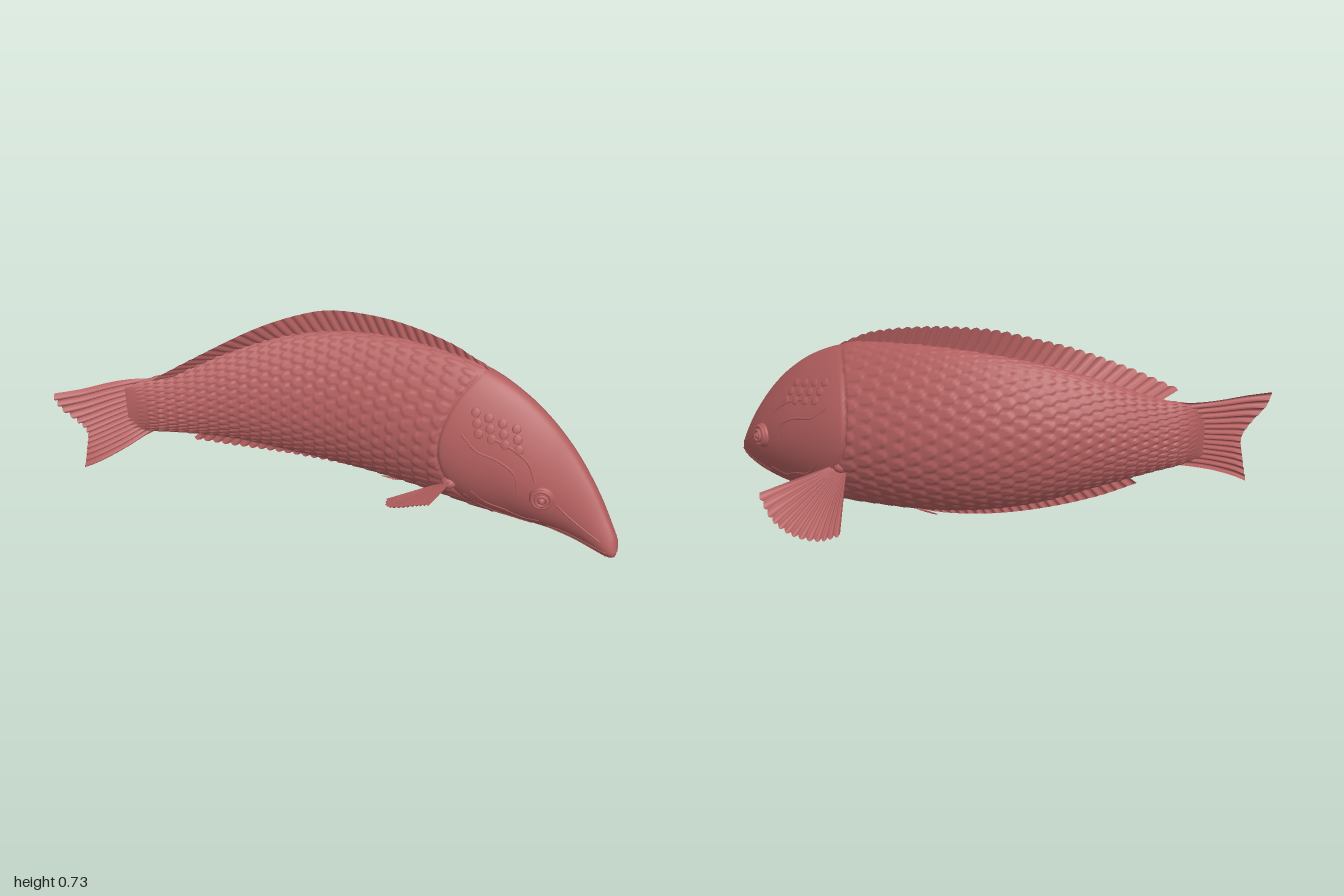
import * as THREE from 'three';
import { ParametricGeometry } from 'three/addons/geometries/ParametricGeometry.js';

const { lerp, smoothstep } = THREE.MathUtils;
const V = (x, y, z) => new THREE.Vector3(x, y, z);
const skinMat = new THREE.MeshStandardMaterial({ color: 0xb25e5e });
const finMat = new THREE.MeshStandardMaterial({ color: 0xb25e5e, side: THREE.DoubleSide });

// Smooth lookup in rows [key, value, value...] with ascending keys
function lookup(rows, k, col = 1) {
  const n = rows.length;
  let i = 0;
  while (i < n - 2 && k > rows[i + 1][0]) i++;
  const slope = (j) => {
    const a = rows[Math.max(j - 1, 0)], b = rows[Math.min(j + 1, n - 1)];
    return (b[col] - a[col]) / (b[0] - a[0]);
  };
  const p = rows[i], q = rows[i + 1], h = q[0] - p[0];
  const t = THREE.MathUtils.clamp((k - p[0]) / h, 0, 1), t2 = t * t, t3 = t2 * t;
  return (2 * t3 - 3 * t2 + 1) * p[col] + (t3 - 2 * t2 + t) * h * slope(i)
    + (3 * t2 - 2 * t3) * q[col] + (t3 - t2) * h * slope(i + 1);
}

// Body stations: x, back height, belly height, half width
const BODY = [
  [-0.76, 0.445, 0.25, 0.006], [-0.7, 0.455, 0.235, 0.03], [-0.6, 0.475, 0.215, 0.05],
  [-0.4, 0.55, 0.165, 0.084], [-0.2, 0.605, 0.105, 0.115], [0, 0.635, 0.062, 0.137],
  [0.2, 0.642, 0.035, 0.154], [0.4, 0.627, 0.018, 0.165], [0.5, 0.608, 0.01, 0.168],
  [0.6, 0.57, 0.006, 0.161], [0.7, 0.507, 0.008, 0.143], [0.8, 0.412, 0.012, 0.113],
  [0.9, 0.275, 0.018, 0.072], [0.96, 0.165, 0.022, 0.045], [0.985, 0.115, 0.027, 0.031],
  [0.995, 0.08, 0.04, 0.016], [0.998, 0.065, 0.055, 0.003],
];
// Sideways bend of the spine: x, z
const SPINE = [
  [-1, 0.065], [-0.9, 0.045], [-0.8, -0.005], [-0.7, -0.055], [-0.6, -0.085], [-0.4, -0.13],
  [-0.2, -0.153], [0, -0.147], [0.2, -0.11], [0.4, -0.045], [0.6, 0.038], [0.8, 0.142],
  [0.9, 0.222], [1, 0.33],
];
// Rear edge of the gill cover: y, x
const GILL = [[0, 0.63], [0.1, 0.52], [0.3, 0.42], [0.5, 0.45], [0.65, 0.55]];

const spineZ = (x) => lookup(SPINE, x);

// Height of overlapping round scales, thickest at their tailward edge
function scaleHeight(x, theta) {
  const p = (x + 0.8) * (26 - 6 * x), q = theta / (2 * Math.PI) * 34;
  let h = 0;
  for (let k = Math.floor(p); k > p - 2; k--) {
    const dx = p - k, row = q + (Math.abs(k) % 2) / 2;
    const dy = row - Math.floor(row) - 0.5;
    const r2 = (dx - 1) ** 2 + (1.9 * dy) ** 2;
    if (r2 < 1) h = Math.max(h, (1 - 0.4 * dx) * Math.min(1, 3 * (1 - r2)));
  }
  return h;
}

// Point on the skin; theta runs belly, right flank, back, left flank
function skin(x, theta, target = V(), scaled = false) {
  const top = lookup(BODY, x, 1), low = lookup(BODY, x, 2), w = lookup(BODY, x, 3);
  const c = Math.cos(theta), s = -Math.sin(theta);
  let half = (top - low) / 2, side = w * s * (1 + 0.14 * c - 0.3 * c * c);
  const mid = (top + low) / 2, edge = lookup(GILL, mid - half * c);
  let lift = 0.011 * smoothstep(x, edge, edge + 0.015) * (1 - smoothstep(x, edge + 0.02, edge + 0.2)) * Math.abs(s);
  if (scaled && x < edge) lift += 0.015 * scaleHeight(x, theta) * smoothstep(x, -0.76, -0.65);
  side += lift * s;
  half += lift * 0.4;
  const slope = (spineZ(x + 0.02) - spineZ(x - 0.02)) / 0.04, len = Math.hypot(1, slope);
  return target.set(x - side * slope / len, mid - half * c, spineZ(x) + side / len);
}

// Skin point and outward normal at a given height; side is +1 for left, -1 for right
function flank(x, y, side) {
  const top = lookup(BODY, x, 1), low = lookup(BODY, x, 2);
  const a = Math.acos(THREE.MathUtils.clamp((top + low - 2 * y) / (top - low), -1, 1));
  const theta = side > 0 ? 2 * Math.PI - a : a, d = 0.01;
  const point = skin(x, theta);
  const normal = skin(x, theta + d).sub(point).cross(skin(x + d, theta).sub(point)).normalize();
  return { point, normal };
}

function add(parent, name, geometry, material = skinMat) {
  const mesh = new THREE.Mesh(geometry, material);
  mesh.name = name;
  parent.add(mesh);
  return mesh;
}

// Thin rayed fin: point(s, t) with s across the rays and t from root to edge
function addFin(parent, name, rays, point, normal, ripple = 0.005, scallop = 0.07) {
  const geo = new ParametricGeometry((s, t, out) => {
    const wave = Math.abs(Math.sin(Math.PI * rays * s));
    out.copy(point(s, t * (1 - scallop * (1 - wave))));
    out.addScaledVector(normal, ripple * (wave - 0.5) * Math.min(1, t * 3));
  }, rays * 6, 8);
  geo.computeVertexNormals();
  return add(parent, name, geo, finMat);
}

export function createModel() {
  const fish = new THREE.Group();
  fish.name = 'fish';

  // Scaled body and smooth head in one skin, denser along the scales
  const body = new ParametricGeometry((u, v, out) => {
    const x = v < 0.8 ? lerp(-0.76, 0.52, v / 0.8) : 0.52 + 0.478 * Math.sin((v - 0.8) / 0.2 * Math.PI / 2);
    skin(x, u * Math.PI * 2, out, true);
  }, 210, 290);
  body.computeVertexNormals();
  add(fish, 'body', body);

  // Dorsal fin, leaning to the left toward the tail
  const dorsalTop = [[-0.67, 0.49], [-0.5, 0.575], [-0.3, 0.66], [-0.1, 0.715], [0, 0.727],
    [0.2, 0.715], [0.4, 0.67], [0.5, 0.622], [0.56, 0.585]];
  addFin(fish, 'dorsalFin', 34, (s, t) => {
    const xb = lerp(-0.58, 0.56, s), xt = lerp(-0.67, 0.54, s), x = lerp(xb, xt, t);
    const lean = 0.06 * (1 - smoothstep(xb, -0.45, 0.05)) * t;
    return V(x, lerp(lookup(BODY, xb, 1) - 0.025, lookup(dorsalTop, xt), t), spineZ(x) + lean);
  }, V(0, 0, 1), 0.009, 0.06);

  // Anal fin
  const analEdge = [[-0.54, 0.165], [-0.4, 0.118], [-0.2, 0.07], [0, 0.035], [0.2, 0.018], [0.27, 0.03]];
  addFin(fish, 'analFin', 24, (s, t) => {
    const xb = lerp(-0.48, 0.27, s), xt = lerp(-0.54, 0.25, s), x = lerp(xb, xt, t);
    return V(x, lerp(lookup(BODY, xb, 2) + 0.03, lookup(analEdge, xt), t), spineZ(x));
  }, V(0, 0, 1), 0.009);

  // Tail fin following the bend of the spine, its lobes slightly twisted apart
  const tailEdge = [[0, -0.925, 0.13], [0.25, -0.908, 0.22], [0.5, -0.9, 0.3], [0.7, -0.935, 0.36],
    [0.85, -0.98, 0.415], [1, -1, 0.472]];
  addFin(fish, 'tailFin', 13, (s, t) => {
    const x = lerp(-0.66, lookup(tailEdge, s, 1), t);
    const y = lerp(lerp(0.23, 0.46, s), lookup(tailEdge, s, 2), t ** 1.15);
    return V(x, y, spineZ(x) + 0.05 * Math.sin(Math.PI * t) * (0.5 - s));
  }, V(0.4, 0, 0.9), 0.016, 0.03);

  // Pectoral fans: two root points, then the outer edge
  const pectorals = {
    leftPectoralFin: [V(0.4, 0.18, 0.12), V(0.42, 0.2, 0.13), V(0.19, 0.17, 0.21), V(0.19, 0.23, 0.32),
      V(0.235, 0.285, 0.385), V(0.285, 0.307, 0.4), V(0.33, 0.29, 0.375)],
    rightPectoralFin: [V(0.49, 0.19, -0.16), V(0.53, 0.2, -0.15), V(0.47, 0.03, -0.38), V(0.54, 0.015, -0.4),
      V(0.63, 0.03, -0.402), V(0.71, 0.07, -0.375), V(0.78, 0.135, -0.3)],
  };
  for (const [name, [r0, r1, ...edge]] of Object.entries(pectorals)) {
    const rim = new THREE.CatmullRomCurve3(edge);
    const normal = edge[0].clone().sub(r0).cross(edge[4].clone().sub(r0)).normalize();
    addFin(fish, name, 13, (s, t) => r0.clone().lerp(r1, s).lerp(rim.getPoint(s), t), normal, 0.009, 0.03);
    const root = add(fish, name + 'Root', new THREE.SphereGeometry(0.03, 20, 12));
    root.position.copy(r0).lerp(r1, 0.5);
    root.scale.set(1, 0.8, 1);
  }

  // Head ridges as x, y paths along the skin, with a thickness
  const ridges = [
    ['upperLip', 0.007, [[0.985, 0.06], [0.955, 0.062], [0.9, 0.064], [0.84, 0.07], [0.8, 0.062]]],
    ['lowerLip', 0.006, [[0.982, 0.042], [0.95, 0.041], [0.88, 0.043], [0.82, 0.05], [0.8, 0.062]]],
    ['cheekRidge', 0.006, [[0.78, 0.09], [0.72, 0.08], [0.66, 0.11], [0.6, 0.13], [0.55, 0.18]]],
    ['snoutRidge', 0.005, [[0.965, 0.1], [0.92, 0.13], [0.87, 0.17], [0.84, 0.2]]],
    ['browRidge', 0.006, [[0.76, 0.28], [0.73, 0.34], [0.68, 0.38], [0.61, 0.41]]],
    ['templeRidge', 0.005, [[0.71, 0.23], [0.69, 0.3], [0.63, 0.34], [0.56, 0.36], [0.5, 0.41]]],
    ['jawRidge', 0.005, [[0.74, 0.035], [0.66, 0.06], [0.58, 0.09], [0.52, 0.15]]],
  ];

  for (const [label, side] of [['left', 1], ['right', -1]]) {
    const head = new THREE.Group();
    head.name = label + 'HeadDetails';
    fish.add(head);

    for (const [name, radius, path] of ridges) {
      const pts = path.map(([x, y]) => {
        const { point, normal } = flank(x, y, side);
        return point.addScaledVector(normal, -radius * 0.55);
      });
      add(head, name, new THREE.TubeGeometry(new THREE.CatmullRomCurve3(pts), 24, radius, 8));
    }

    // Eye: domed socket, rings and pupil facing out of the skin
    const eye = new THREE.Group();
    eye.name = label + 'Eye';
    const seat = flank(0.79, 0.222, side);
    eye.position.copy(seat.point);
    eye.quaternion.setFromUnitVectors(V(0, 0, 1), seat.normal);
    add(eye, 'socket', new THREE.SphereGeometry(0.045, 28, 16)).scale.z = 0.45;
    add(eye, 'eyelid', new THREE.TorusGeometry(0.034, 0.007, 10, 32)).position.z = 0.013;
    add(eye, 'iris', new THREE.TorusGeometry(0.02, 0.006, 10, 28)).position.z = 0.022;
    add(eye, 'pupil', new THREE.SphereGeometry(0.014, 18, 12)).position.z = 0.018;
    head.add(eye);

    // Rows of small raised plates above the gill cover
    for (let i = 0; i < 12; i++) {
      const row = i % 3, column = Math.floor(i / 3);
      const { point, normal } = flank(0.69 - column * 0.045 - row * 0.012, 0.385 + row * 0.033 + column * 0.012, side);
      const plate = add(head, 'headPlate', new THREE.SphereGeometry(0.016, 10, 8));
      plate.position.copy(point);
      plate.quaternion.setFromUnitVectors(V(0, 0, 1), normal);
      plate.scale.set(1, 1.1, 0.22);
    }

    // Small folded pelvic fin under the belly
    addFin(fish, label + 'PelvicFin', 5, (s, t) => {
      const x = lerp(0.32, 0.16 + 0.05 * s, t);
      return V(x, 0.05 - 0.027 * t + 0.02 * s * t, spineZ(x) + side * (0.03 + 0.03 * s * t));
    }, V(0, 1, 0), 0.006);
  }
  return fish;
}
